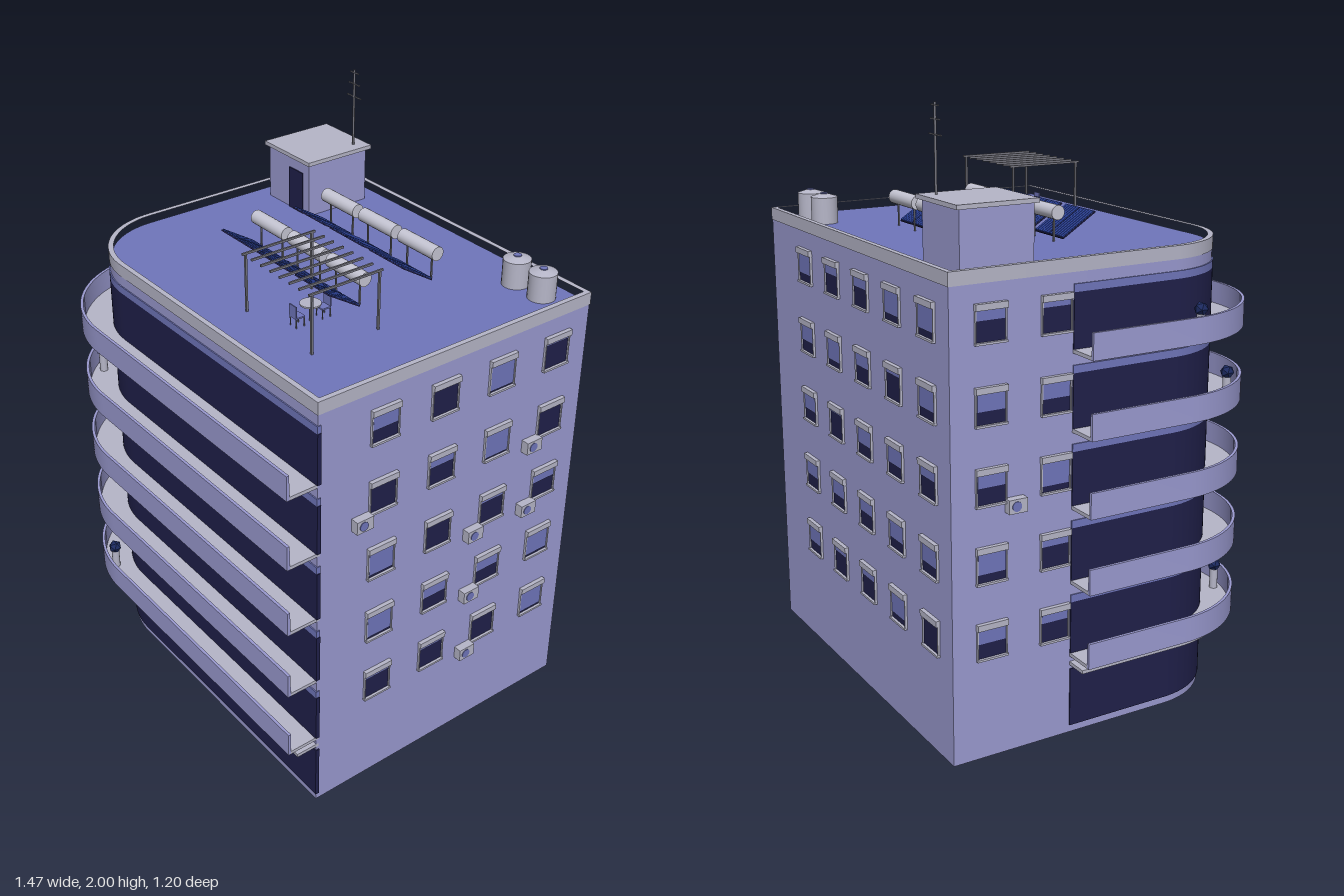
import * as THREE from 'three';
import { toCreasedNormals } from 'three/addons/utils/BufferGeometryUtils.js';

const mat = (name, color) => {
  const m = new THREE.MeshStandardMaterial({ color });
  m.name = name;
  return m;
};

export function createModel() {
  const M = {
    wall: mat('lavender wall', 0x9a9ad0),
    stone: mat('pale grey stone', 0xb6b6c8),
    glass: mat('dark glass', 0x20204a),
    shutter: mat('blue shutter and roof', 0x7076bb),
    solar: mat('solar blue', 0x2c429a),
    plant: mat('plant navy', 0x1c2a60),
    tank: mat('tank white', 0xc6c6d4),
    metal: mat('metal grey', 0x74747e),
  };
  const model = new THREE.Group();
  model.name = 'apartmentBuilding';

  const add = (parent, name, geo, material, x = 0, y = 0, z = 0) => {
    const mesh = new THREE.Mesh(geo, material);
    mesh.name = name;
    mesh.position.set(x, y, z);
    parent.add(mesh);
    return mesh;
  };
  const box = (parent, name, material, w, h, d, x, y, z) =>
    add(parent, name, new THREE.BoxGeometry(w, h, d), material, x, y, z);
  const cyl = (parent, name, material, r, h, x, y, z, sides = 20) =>
    add(parent, name, new THREE.CylinderGeometry(r, r, h, sides), material, x, y, z);
  const group = (parent, name, x = 0, y = 0, z = 0) => {
    const g = new THREE.Group();
    g.name = name;
    g.position.set(x, y, z);
    parent.add(g);
    return g;
  };

  // Footprint: rectangle with one rounded front corner (shape y is -z)
  const X0 = -0.63, X1 = 0.7, ZF = 0.49, ZB = -0.585, R = 0.28, SIDE_END = -0.165;
  const cx = X0 + R, cy = -(ZF - R);
  const footprint = (path, o) => {
    path.moveTo(X1 + o, -(ZF + o));
    path.lineTo(cx, -(ZF + o));
    path.absarc(cx, cy, R + o, -Math.PI / 2, -Math.PI, true);
    path.lineTo(X0 - o, -ZB + o);
    path.lineTo(X1 + o, -ZB + o);
    path.closePath();
    return path;
  };
  // Strip following the front, the rounded corner and part of the side
  const strip = (inner, outer, endX = X1) => {
    const s = new THREE.Shape();
    s.moveTo(endX, -(ZF + outer));
    s.lineTo(cx, -(ZF + outer));
    s.absarc(cx, cy, R + outer, -Math.PI / 2, -Math.PI, true);
    s.lineTo(X0 - outer, -SIDE_END);
    s.lineTo(X0 - inner, -SIDE_END);
    s.absarc(cx, cy, R + inner, -Math.PI, -Math.PI / 2, false);
    s.lineTo(endX, -(ZF + inner));
    s.closePath();
    return s;
  };
  const slab = (name, shape, material, y0, y1) => {
    const g = new THREE.ExtrudeGeometry(shape, { depth: y1 - y0, bevelEnabled: false, curveSegments: 24 });
    g.rotateX(-Math.PI / 2);
    return add(model, name, toCreasedNormals(g, 0.5), material, 0, y0, 0);
  };

  // Main body, roof deck and parapet
  slab('mainBody', footprint(new THREE.Shape(), 0), M.wall, 0, 1.512);
  slab('roofDeck', footprint(new THREE.Shape(), -0.01), M.shutter, 1.512, 1.525);
  const rim = footprint(new THREE.Shape(), 0.002);
  rim.holes.push(footprint(new THREE.Path(), -0.016));
  slab('parapet', rim, M.stone, 1.512, 1.555);

  // Ground floor glazing and canopy
  slab('groundGlazing', strip(-0.01, 0.004, 0.704), M.glass, 0.025, 0.225);
  slab('canopy', strip(-0.01, 0.075), M.stone, 0.238, 0.25);

  // Wrap-around balconies with ribbon glazing and shutter boxes
  const FLOORS = 5, PITCH = 0.249;
  for (let i = 0; i < FLOORS; i++) {
    const y = 0.268 + i * PITCH;
    slab('balconyFloor', strip(-0.01, 0.1), M.stone, y, y + 0.012);
    slab('balconyParapet', strip(0.1, 0.11), M.wall, y, y + 0.086);
    slab('ribbonGlazing', strip(-0.01, 0.004, 0.705), M.glass, y + 0.012, y + 0.187);
    slab('shutterBox', strip(-0.01, 0.004, 0.703), M.shutter, y + 0.187, y + 0.212);
  }

  // Window with header, sill and a partly lowered shutter, facing local +z
  const addWindow = (face, x, y, closed) => {
    const w = group(face, 'window', x, y, 0);
    box(w, 'pane', M.glass, 0.098, 0.1, 0.006, 0, 0.055, 0);
    const h = 0.1 * closed;
    box(w, 'shutter', M.shutter, 0.094, h, 0.012, 0, 0.105 - h / 2, 0);
    box(w, 'header', M.stone, 0.108, 0.02, 0.028, 0, 0.111, 0);
    box(w, 'sill', M.stone, 0.108, 0.007, 0.024, 0, 0.002, 0);
    for (const s of [-1, 1]) box(w, 'jamb', M.stone, 0.004, 0.1, 0.016, s * 0.051, 0.055, 0);
  };
  const addAirConditioner = (face, x, y) => {
    const a = group(face, 'airConditioner', x, y, 0.014);
    box(a, 'casing', M.stone, 0.064, 0.045, 0.028, 0, 0, 0);
    cyl(a, 'fan', M.shutter, 0.016, 0.004, -0.006, 0, 0.0145).rotation.x = Math.PI / 2;
  };
  const rowY = (i) => 0.337 + i * PITCH;

  // Right side wall: local x is -z
  const right = group(model, 'rightWindows', X1, 0, 0);
  right.rotation.y = Math.PI / 2;
  const lowered = [
    [0.2, 0.2, 0.06, 0.9], [0.9, 0.5, 0.5, 0.9], [0.9, 0.06, 0.2, 0.4],
    [0.1, 0.35, 0.93, 0.1], [0.55, 0.1, 0.93, 0.15],
  ];
  lowered.forEach((row, i) => row.forEach((c, j) => addWindow(right, -0.245 + j * 0.232, rowY(i), c)));
  for (const [x, y] of [[-0.33, 1.075], [0.37, 1.075], [0.135, 0.825], [0.37, 0.825], [0.135, 0.575], [0.135, 0.325]])
    addAirConditioner(right, x, y);

  // Back and left side walls
  let seed = 7;
  const random = () => (seed = (seed * 16807) % 2147483647) / 2147483647;
  const back = group(model, 'backWindows', 0, 0, ZB);
  back.rotation.y = Math.PI;
  const left = group(model, 'leftWindows', X0, 0, 0);
  left.rotation.y = -Math.PI / 2;
  for (let i = 0; i < FLOORS; i++) {
    for (let j = 0; j < 5; j++) addWindow(back, 0.495 - j * 0.225, rowY(i), 0.1 + 0.75 * random());
    for (const z of [-0.45, -0.225]) addWindow(left, z, rowY(i), 0.1 + 0.75 * random());
  }
  addAirConditioner(left, -0.37, 0.825);

  // Stair house with door
  const stair = group(model, 'stairHouse', -0.445, 1.52, -0.385);
  box(stair, 'stairWalls', M.wall, 0.23, 0.2, 0.25, 0, 0.1, 0);
  box(stair, 'stairRoof', M.stone, 0.256, 0.014, 0.275, 0, 0.203, -0.002);
  box(stair, 'stairDoor', M.glass, 0.078, 0.15, 0.006, 0.043, 0.08, 0.126);

  // Antenna
  const antenna = group(model, 'antenna', -0.36, 1.72, -0.478);
  cyl(antenna, 'mast', M.metal, 0.004, 0.28, 0, 0.14, 0, 8);
  [[0.185, 0.076], [0.23, 0.06], [0.27, 0.044]].forEach(([y, w]) =>
    box(antenna, 'crossbar', M.metal, w, 0.004, 0.004, 0, y, 0));

  // Solar water heaters: tank, posts and two tilted collectors each
  for (const z of [-0.288, 0.008]) for (const x of [-0.18, 0.022, 0.225]) {
    const heater = group(model, 'solarHeater', x, 1.52, z);
    cyl(heater, 'heaterTank', M.tank, 0.024, 0.172, 0, 0.102, 0).rotation.z = Math.PI / 2;
    for (const s of [-1, 1]) {
      box(heater, 'tankPost', M.metal, 0.005, 0.09, 0.005, s * 0.06, 0.045, 0);
      const panel = group(heater, 'collector', s * 0.044, 0.055, 0.081);
      panel.rotation.x = -0.56;
      box(panel, 'collectorFrame', M.glass, 0.083, 0.005, 0.146, 0, 0, 0);
      for (let k = 0; k < 6; k++)
        box(panel, 'collectorTube', M.solar, 0.0115, 0.004, 0.14, -0.034 + k * 0.0136, 0.004, 0);
    }
  }

  // Water tanks
  for (const x of [0.475, 0.591]) {
    const t = group(model, 'waterTank', x, 1.525, -0.48);
    cyl(t, 'tankBody', M.stone, 0.046, 0.09, 0, 0.045, 0, 24);
    add(t, 'tankLid', new THREE.CylinderGeometry(0.014, 0.046, 0.01, 24), M.stone, 0, 0.095, 0);
    cyl(t, 'tankCap', M.shutter, 0.013, 0.004, 0, 0.101, 0);
  }

  // Pergola
  const pergola = group(model, 'pergola', 0.275, 1.52, 0.188);
  for (let k = 0; k < 8; k++)
    box(pergola, 'pergolaSlat', M.metal, 0.006, 0.007, 0.276, -0.166 + k * 0.0474, 0.203, 0);
  for (const sx of [-1, 1]) for (const sz of [-1, 1])
    box(pergola, 'pergolaPost', M.metal, 0.007, 0.2, 0.007, sx * 0.166, 0.1, sz * 0.126);

  // Round table and chairs under the pergola
  cyl(pergola, 'tableTop', M.stone, 0.034, 0.005, 0, 0.065, 0.005, 24);
  cyl(pergola, 'tableLeg', M.metal, 0.004, 0.064, 0, 0.032, 0.005, 8);
  for (const s of [-1, 1]) {
    const chair = group(pergola, 'chair', 0, 0, 0.005 + s * 0.05);
    box(chair, 'chairSeat', M.shutter, 0.034, 0.005, 0.034, 0, 0.038, 0);
    box(chair, 'chairBack', M.shutter, 0.034, 0.038, 0.004, 0, 0.06, s * 0.016);
    for (const a of [-1, 1]) for (const b of [-1, 1])
      box(chair, 'chairLeg', M.metal, 0.003, 0.036, 0.003, a * 0.015, 0.018, b * 0.015);
  }

  // Potted plants on the balconies
  for (const [x, floor, z] of [[-0.69, 4, 0.265], [-0.6, 3, 0.45], [-0.455, 0, 0.545]]) {
    const p = group(model, 'pottedPlant', x, 0.28 + floor * PITCH, z);
    cyl(p, 'pot', M.stone, 0.014, 0.07, 0, 0.035, 0, 12);
    const geo = new THREE.IcosahedronGeometry(0.024, 0);
    add(p, 'foliage', geo, M.plant, 0, 0.086, 0);
  }
  return model;
}
